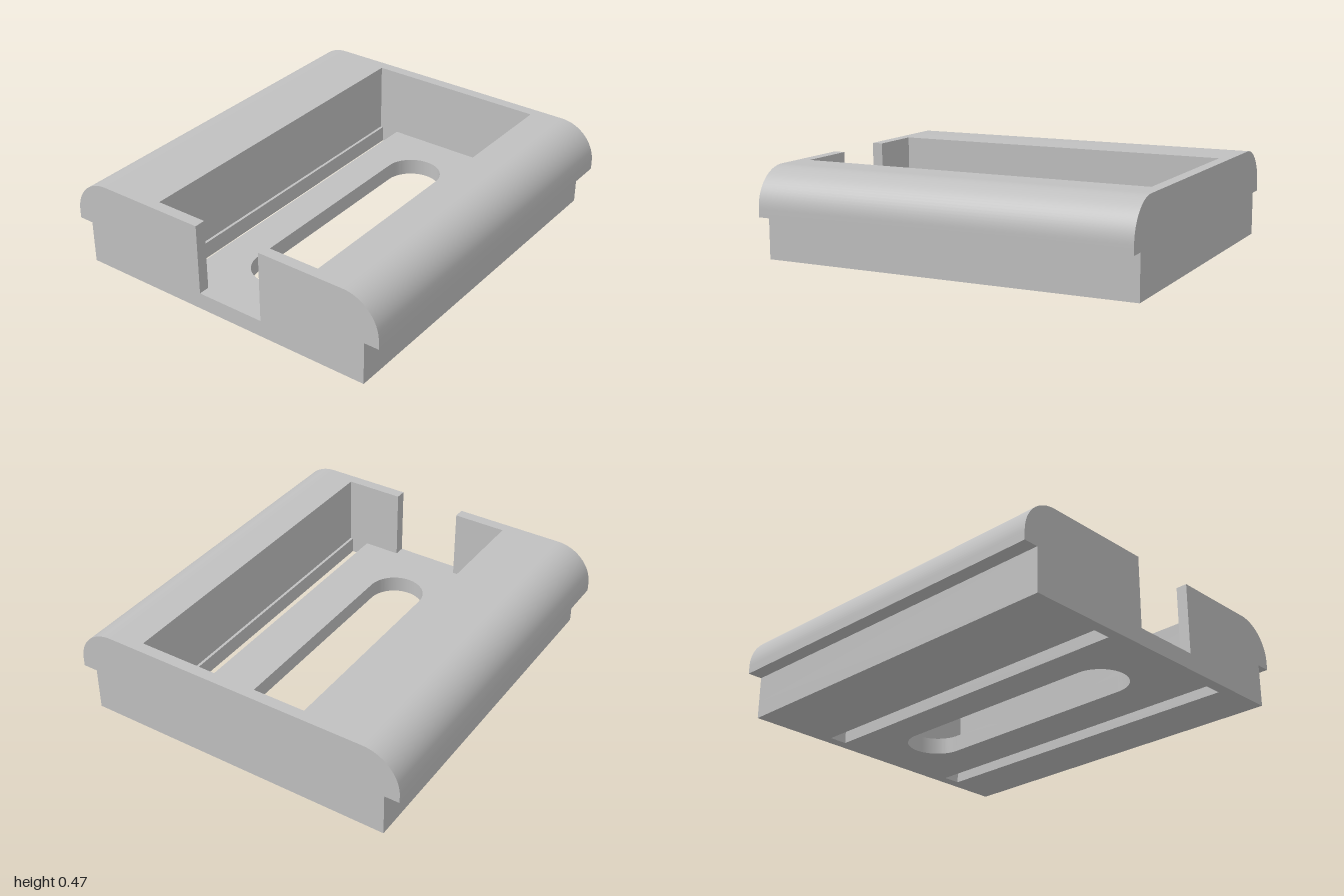
import * as THREE from 'three';
import { toCreasedNormals } from 'three/addons/utils/BufferGeometryUtils.js';

const FLOOR = 0.09, TOP = 0.475, LIP = 0.23, BASE_Z = 0.85, LIP_Z = 0.93, R = 0.2;
const INNER_X = 0.94, BACK_Z = -0.42, FRONT_Z = 0.57;

export function createModel() {
  const model = new THREE.Group();
  model.name = 'tray';
  const grey = new THREE.MeshStandardMaterial({ color: 0xc0c0c0 });
  grey.name = 'light grey';

  const add = (name, geometry) => {
    const mesh = new THREE.Mesh(geometry, grey);
    mesh.name = name;
    model.add(mesh);
  };
  const smooth = (geometry) => toCreasedNormals(geometry, Math.PI / 6);

  // Floor plate with two long slots and a rounded central opening (shape y = z)
  const rect = (T, x0, x1, z0, z1) => {
    const p = new T();
    p.moveTo(x0, z0).lineTo(x1, z0).lineTo(x1, z1).lineTo(x0, z1).closePath();
    return p;
  };
  const floor = rect(THREE.Shape, -1, 1, -BASE_Z, BASE_Z);
  for (const z of [-0.405, 0.455]) {
    floor.holes.push(rect(THREE.Path, -INNER_X, INNER_X, z, z + 0.1));
  }
  const opening = new THREE.Path();
  opening.absarc(0.583, 0.045, 0.155, -Math.PI / 2, Math.PI / 2, false);
  opening.absarc(-0.583, 0.045, 0.155, Math.PI / 2, Math.PI * 1.5, false);
  opening.closePath();
  floor.holes.push(opening);
  const floorGeo = new THREE.ExtrudeGeometry(floor, { depth: FLOOR, bevelEnabled: false, curveSegments: 24 });
  floorGeo.rotateX(Math.PI / 2).translate(0, FLOOR, 0);
  add('floor', smooth(floorGeo));

  // Overhanging rails with a rounded outer shoulder, extruded along x
  const rail = (name, side, innerZ) => {
    const pts = [[innerZ, FLOOR], [side * BASE_Z, FLOOR], [side * BASE_Z, LIP], [side * LIP_Z, LIP]];
    for (let i = 0; i <= 20; i++) {
      const a = (i / 20) * Math.PI / 2;
      pts.push([side * (LIP_Z - R + R * Math.cos(a)), TOP - R + R * Math.sin(a)]);
    }
    pts.push([innerZ, TOP]);
    const shape = new THREE.Shape(pts.map(([z, y]) => new THREE.Vector2(z, y)));
    const geo = new THREE.ExtrudeGeometry(shape, { depth: 2, bevelEnabled: false });
    geo.rotateY(-Math.PI / 2).translate(1, 0, 0);
    add(name, smooth(geo));
  };
  rail('frontRail', 1, FRONT_Z);
  rail('backRail', -1, BACK_Z);

  // Thin end walls; the one at -x is interrupted by a notch
  const wall = (name, side, z0, z1) => {
    const geo = new THREE.BoxGeometry(1 - INNER_X, TOP - FLOOR, z1 - z0);
    geo.translate(side * (1 + INNER_X) / 2, (TOP + FLOOR) / 2, (z0 + z1) / 2);
    add(name, geo);
  };
  wall('leftEndWall', 1, BACK_Z, FRONT_Z);
  wall('rightEndWallBack', -1, BACK_Z, -0.13);
  wall('rightEndWallFront', -1, 0.25, FRONT_Z);

  return model;
}
